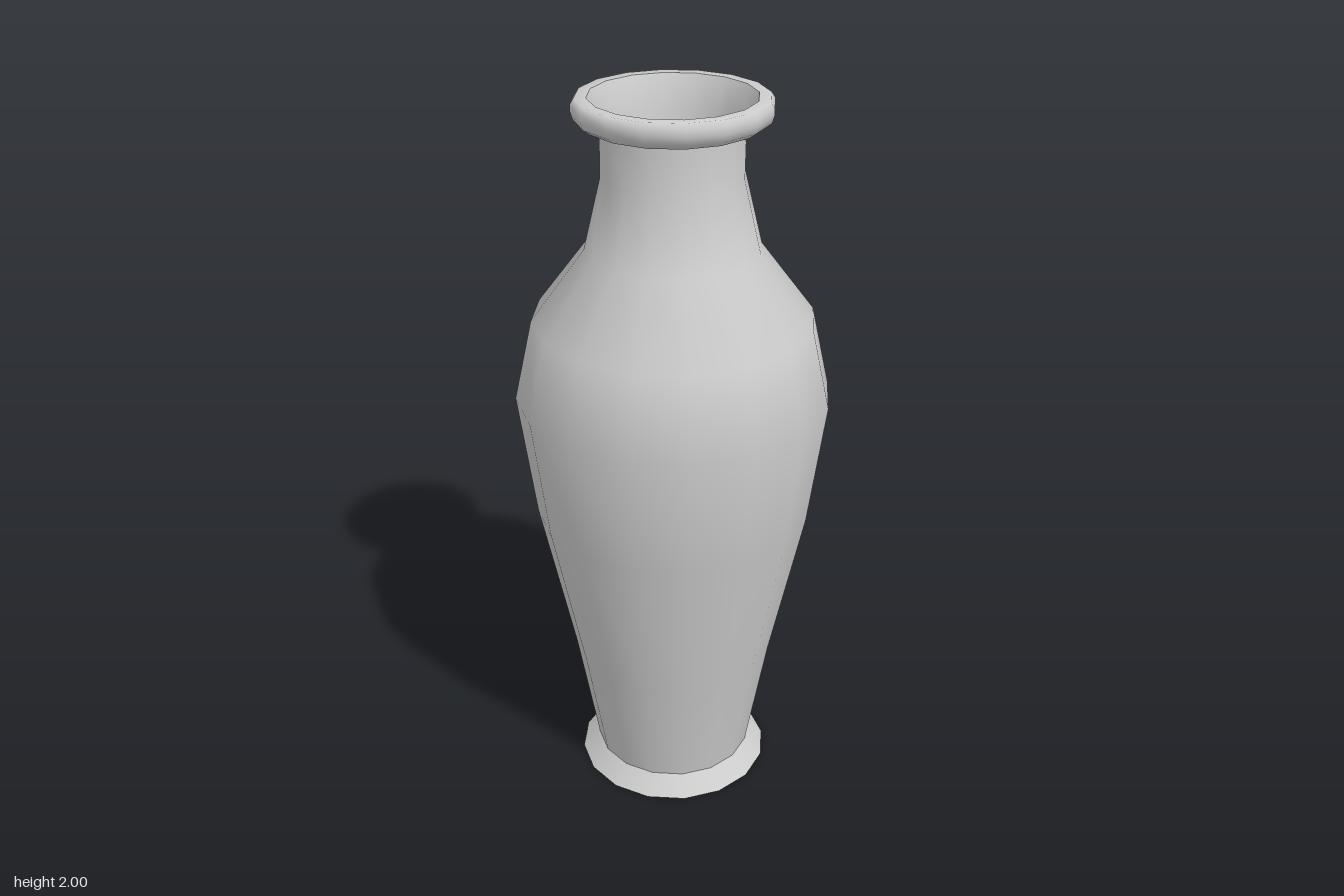
import * as THREE from 'three';

const SIDES = 16;

export function createModel() {
  const vase = new THREE.Group();
  vase.name = 'vase';
  const material = new THREE.MeshStandardMaterial({ color: 0xcccccc, side: THREE.DoubleSide });

  // Each section is turned separately so the joints between them stay sharp.
  const turn = (name, profile) => {
    const points = profile.map(([r, y]) => new THREE.Vector2(r, y));
    const mesh = new THREE.Mesh(new THREE.LatheGeometry(points, SIDES), material);
    mesh.name = name;
    vase.add(mesh);
  };

  // Flat underside and flared foot
  turn('base', [[0, 0], [0.275, 0]]);
  turn('foot', [[0.275, 0], [0.225, 0.05]]);

  // Tapered body, shoulder and neck
  turn('body', [
    [0.225, 0.05], [0.285, 0.4], [0.378, 0.85], [0.423, 1.2],
    [0.373, 1.42], [0.23, 1.61], [0.184, 1.8], [0.183, 1.93],
  ]);

  // Rolled lip
  turn('lipUnderside', [[0.183, 1.93], [0.228, 1.934]]);
  turn('lip', [[0.228, 1.934], [0.247, 1.948], [0.253, 1.967], [0.253, 1.985], [0.243, 2], [0.213, 2]]);

  // Hollow interior narrowing to its floor
  turn('interior', [[0.213, 2], [0.17, 1.91], [0.14, 1.62], [0.1, 1.52], [0.012, 1.49]]);
  turn('interiorFloor', [[0.012, 1.49], [0, 1.49]]);

  return vase;
}
